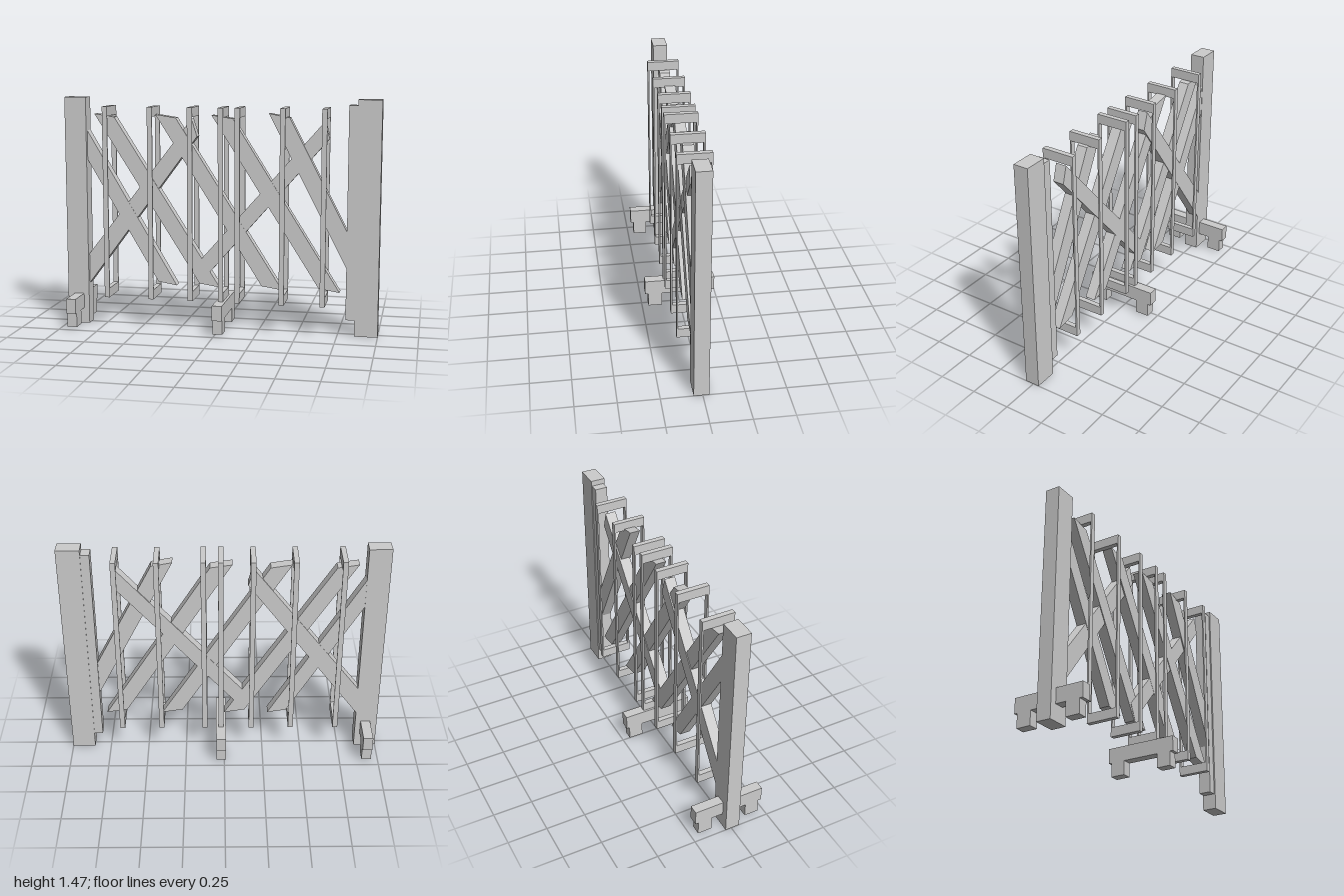
import * as THREE from 'three';

const material = new THREE.MeshStandardMaterial({ color: 0xcccccc, flatShading: true });

// Box given by its minimum and maximum on each axis
function box(name, [x0, x1], [y0, y1], [z0, z1]) {
  const mesh = new THREE.Mesh(new THREE.BoxGeometry(x1 - x0, y1 - y0, z1 - z0), material);
  mesh.name = name;
  mesh.position.set((x0 + x1) / 2, (y0 + y1) / 2, (z0 + z1) / 2);
  return mesh;
}

// Flat slat with slanted ends, extruded from z0 to z1
function slat(name, corners, z0, z1) {
  const shape = new THREE.Shape(corners.map(([x, y]) => new THREE.Vector2(x, y)));
  const geometry = new THREE.ExtrudeGeometry(shape, { depth: z1 - z0, bevelEnabled: false });
  geometry.translate(0, 0, z0);
  const mesh = new THREE.Mesh(geometry, material);
  mesh.name = name;
  return mesh;
}

// Narrow upright frame wrapped around the slats
function uprightFrame(x) {
  const group = new THREE.Group();
  group.name = 'uprightFrame';
  const w = [x - 0.016, x + 0.016];
  group.add(
    box('frontUpright', w, [0.25, 1.35], [0.1, 0.11]),
    box('backUpright', w, [0.25, 1.35], [-0.095, -0.085]),
    box('topBar', w, [1.35, 1.41], [-0.095, 0.11]),
    box('bottomBar', w, [0.19, 0.25], [-0.095, 0.11])
  );
  return group;
}

// Cross beam resting on two short legs
function foot(x) {
  const group = new THREE.Group();
  group.name = 'foot';
  const w = [x - 0.031, x + 0.031];
  group.add(
    box('footBeam', w, [0.1, 0.195], [-0.225, 0.23]),
    box('frontLeg', w, [0.01, 0.1], [0.12, 0.21]),
    box('backLeg', w, [0.01, 0.1], [-0.205, -0.113])
  );
  return group;
}

export function createModel() {
  const model = new THREE.Group();
  model.name = 'foldingGate';

  // End posts
  model.add(
    box('rightPost', [-1, -0.86], [0, 1.465], [-0.039, 0.054]),
    box('leftPost', [0.855, 1], [0, 1.465], [-0.039, 0.054]),
    box('leftInnerPost', [0.8, 0.86], [0.1, 1.43], [-0.034, 0.046])
  );

  // Feet and frames
  for (const x of [-0.925, 0.021]) model.add(foot(x));
  for (const x of [-0.72, -0.43, -0.175, 0.02, 0.125, 0.405, 0.66]) model.add(uprightFrame(x));

  // Falling slats; each sits slightly further forward than the last
  [
    [[-0.995, 1.295], [-0.92, 1.355], [-0.28, 0.27], [-0.4, 0.29]],
    [[-0.81, 1.36], [-0.68, 1.34], [0, 0.27], [-0.13, 0.29]],
    [[-0.41, 1.36], [-0.28, 1.34], [0.4, 0.27], [0.27, 0.29]],
    [[-0.05, 1.36], [0.085, 1.34], [0.76, 0.27], [0.63, 0.29]],
    [[0.31, 1.375], [0.44, 1.35], [1, 0.27], [0.87, 0.29]]
  ].forEach((corners, i) => {
    const shift = i * 0.003;
    model.add(slat('fallingSlat', corners, -0.037 + shift, 0.03 + shift));
  });

  // Rising slats
  model.add(
    slat('risingSlat', [[-0.93, 0.365], [-0.93, 0.17], [-0.145, 1.225], [-0.18, 1.335]], -0.039, 0.028),
    slat('risingSlat', [[-0.17, 0.39], [-0.125, 0.295], [0.685, 1.225], [0.655, 1.33]], -0.034, 0.035)
  );
  return model;
}
